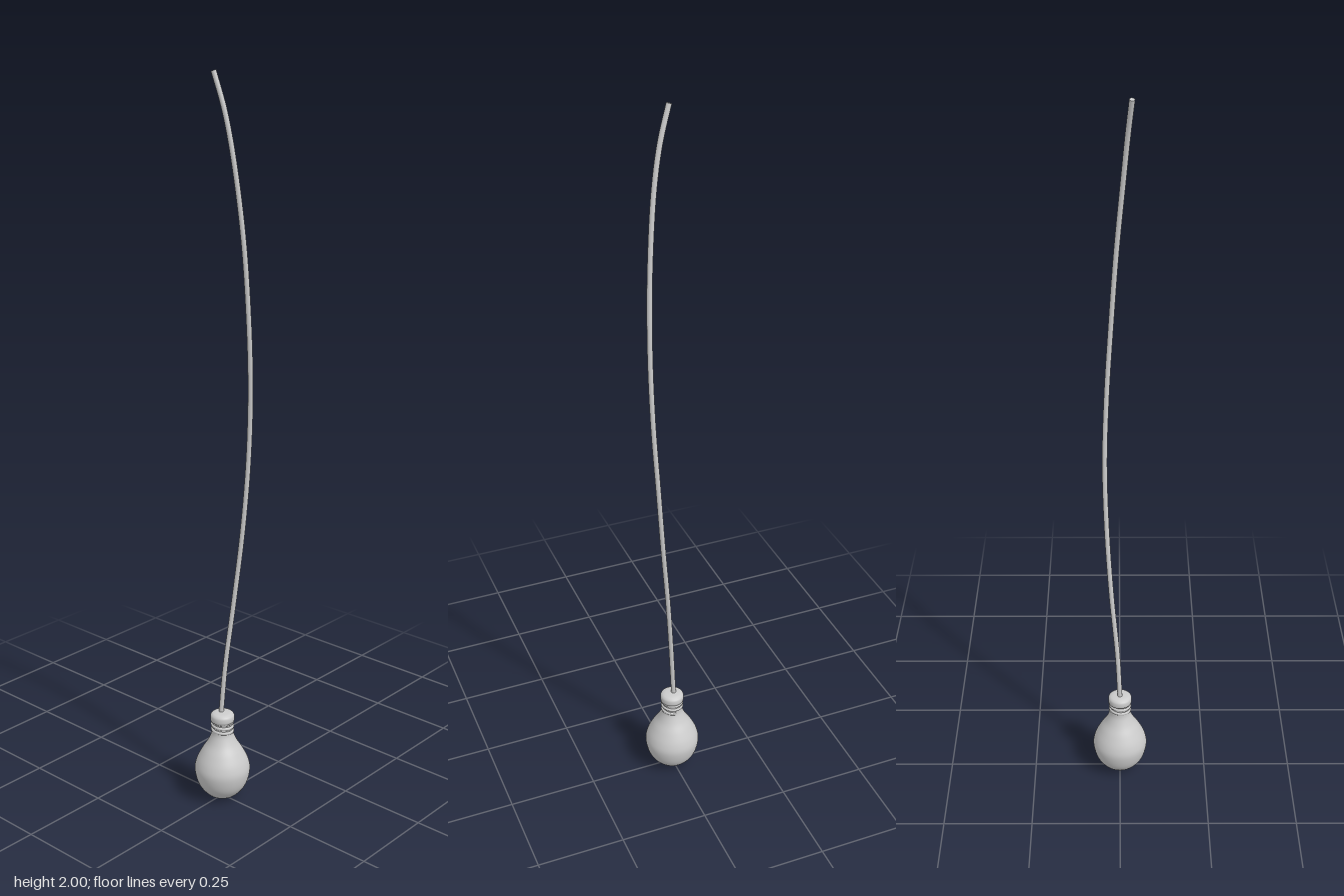
import * as THREE from 'three';

const material = new THREE.MeshStandardMaterial({ color: 0xcccccc, side: THREE.DoubleSide });

function addPart(group, name, geometry) {
  const mesh = new THREE.Mesh(geometry, material);
  mesh.name = name;
  group.add(mesh);
}

const curveThrough = (points) =>
  new THREE.CatmullRomCurve3(points.map((p) => new THREE.Vector3(...p)));

// Smooth lathe through a few [radius, height] points, listed bottom to top
function smoothLathe(profile, steps) {
  const spline = new THREE.SplineCurve(profile.map((p) => new THREE.Vector2(...p)));
  const points = spline.getPoints(steps).map((p) => p.setX(Math.max(p.x, 0)));
  return new THREE.LatheGeometry(points, 48);
}

export function createModel() {
  const model = new THREE.Group();
  model.name = 'hangingBulb';

  // Pear-shaped glass, narrowing into the neck
  addPart(model, 'glassBulb', smoothLathe([
    [0, 0], [0.022, 0.003], [0.045, 0.015], [0.068, 0.045], [0.078, 0.085],
    [0.073, 0.115], [0.058, 0.146], [0.042, 0.172], [0.032, 0.195], [0.03, 0.21],
  ], 48));

  // Socket sleeve with a rounded top
  addPart(model, 'socket', new THREE.LatheGeometry([
    [0.028, 0.2], [0.029, 0.235], [0.033, 0.238], [0.034, 0.243], [0.034, 0.252],
    [0.032, 0.257], [0.027, 0.261], [0.018, 0.263], [0, 0.264],
  ].map((p) => new THREE.Vector2(...p)), 40));

  // Screw thread winding round the sleeve
  const turns = 2.5;
  const thread = [];
  for (let i = 0; i <= turns * 16; i++) {
    const angle = (i / 16) * Math.PI * 2;
    thread.push([0.028 * Math.cos(angle), 0.204 + 0.014 * (i / 16), 0.028 * Math.sin(angle)]);
  }
  addPart(model, 'screwThread', new THREE.TubeGeometry(curveThrough(thread), 100, 0.005, 8));

  // Long cord, bowed to the left and forward
  const cord = curveThrough([
    [0, 0.255, -0.005], [0.007, 0.4, 0.004], [0.024, 0.6, 0.021], [0.036, 0.8, 0.04],
    [0.041, 1.0, 0.055], [0.035, 1.2, 0.066], [0.023, 1.4, 0.068], [0.009, 1.6, 0.061],
    [-0.009, 1.8, 0.042], [-0.019, 1.91, 0.022], [-0.028, 1.997, -0.004],
  ]);
  addPart(model, 'cord', new THREE.TubeGeometry(cord, 80, 0.007, 12));

  // Flat end closing the cord
  const cap = new THREE.CircleGeometry(0.007, 12);
  cap.applyQuaternion(new THREE.Quaternion().setFromUnitVectors(
    new THREE.Vector3(0, 0, 1), cord.getTangent(1)));
  const end = cord.getPoint(1);
  cap.translate(end.x, end.y, end.z);
  addPart(model, 'cordEnd', cap);

  return model;
}
